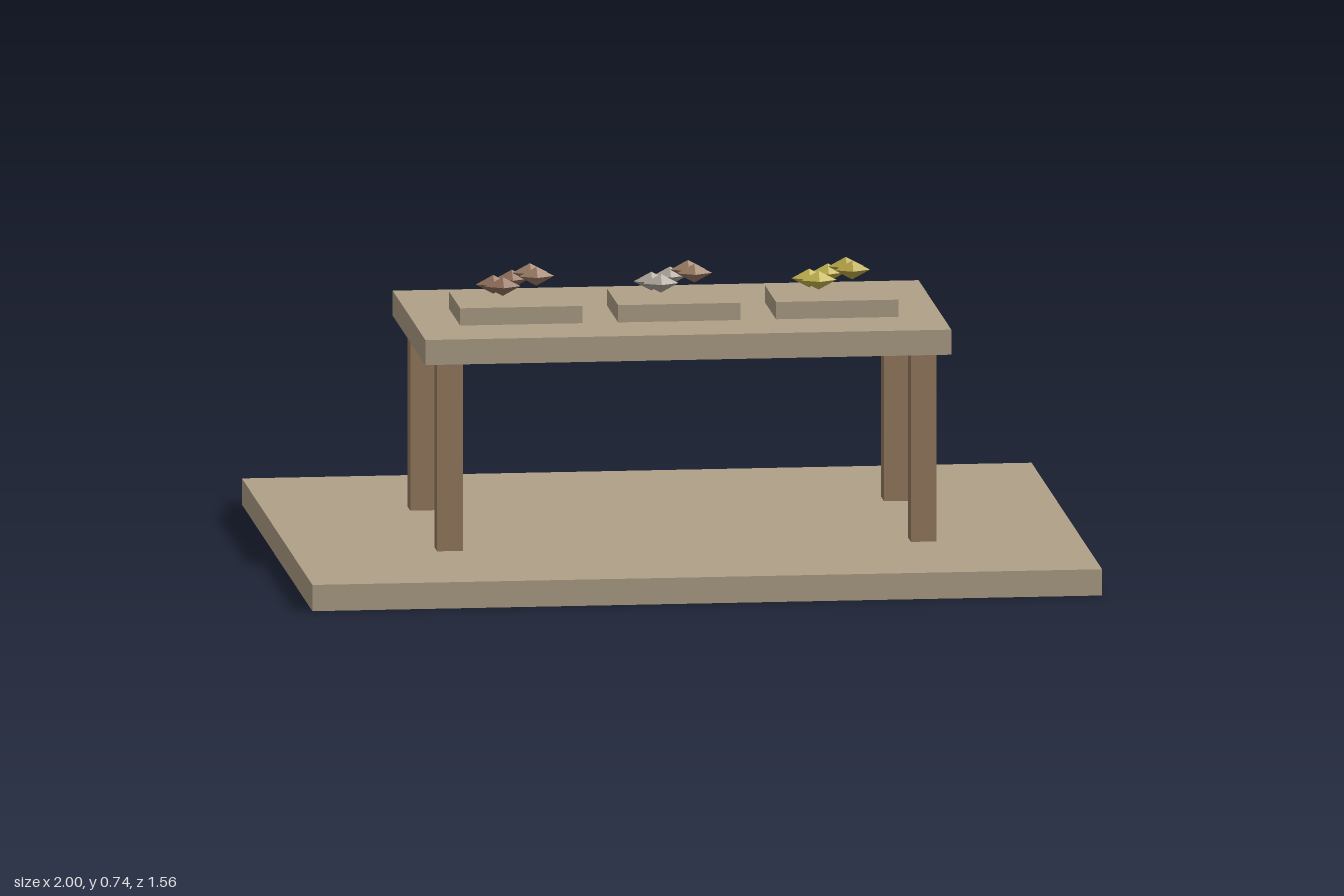
import * as THREE from 'three';

const mat = (name, color) => new THREE.MeshStandardMaterial({ name, color });

export function createModel() {
  const model = new THREE.Group();
  model.name = 'displayTable';

  const paleWood = mat('pale wood', 0xb0a088);
  const darkWood = mat('dark wood', 0x967c60);
  const copper = mat('copper', 0x92705c);
  const bronze = mat('bronze', 0x9c7c64);
  const silver = mat('silver', 0xb0a89c);
  const gold = mat('gold', 0xc2b450);
  const brass = mat('brass', 0xb8a648);

  // Box spanning y0..y1, centred on x and z
  const slab = (name, material, w, d, y0, y1, x = 0, z = 0) => {
    const mesh = new THREE.Mesh(new THREE.BoxGeometry(w, y1 - y0, d), material);
    mesh.name = name;
    mesh.position.set(x, (y0 + y1) / 2, z);
    model.add(mesh);
  };

  slab('floor', paleWood, 2, 1.556, 0, 0.067);
  slab('tableTop', paleWood, 1.332, 0.722, 0.549, 0.613);
  for (const sx of [-1, 1]) {
    for (const sz of [-1, 1]) {
      slab('leg', darkWood, 0.065, 0.065, 0.001, 0.549, sx * 0.6, sz * 0.297);
    }
  }

  // Nugget layout on each tray: x, y, z, upper layer or not
  const layout = [
    [0, 0.692, -0.049, false],
    [0.043, 0.712, -0.025, true],
    [-0.055, 0.692, 0.021, false],
    [0.053, 0.712, 0.031, true],
    [-0.035, 0.692, 0.056, false],
  ];
  const nuggetGeometry = new THREE.OctahedronGeometry(1);
  nuggetGeometry.scale(0.045, 0.024, 0.027);

  // Three trays, each holding a pile of ore nuggets
  const piles = [[-0.4, copper, bronze], [0, silver, bronze], [0.4, gold, brass]];
  for (const [x, lower, upper] of piles) {
    slab('tray', paleWood, 0.31, 0.242, 0.613, 0.657, x, 0.041);
    const pile = new THREE.Group();
    pile.name = 'nuggetPile';
    pile.position.x = x;
    for (const [nx, ny, nz, high] of layout) {
      const nugget = new THREE.Mesh(nuggetGeometry, high ? upper : lower);
      nugget.name = 'nugget';
      nugget.position.set(nx, ny, nz);
      pile.add(nugget);
    }
    model.add(pile);
  }
  return model;
}
